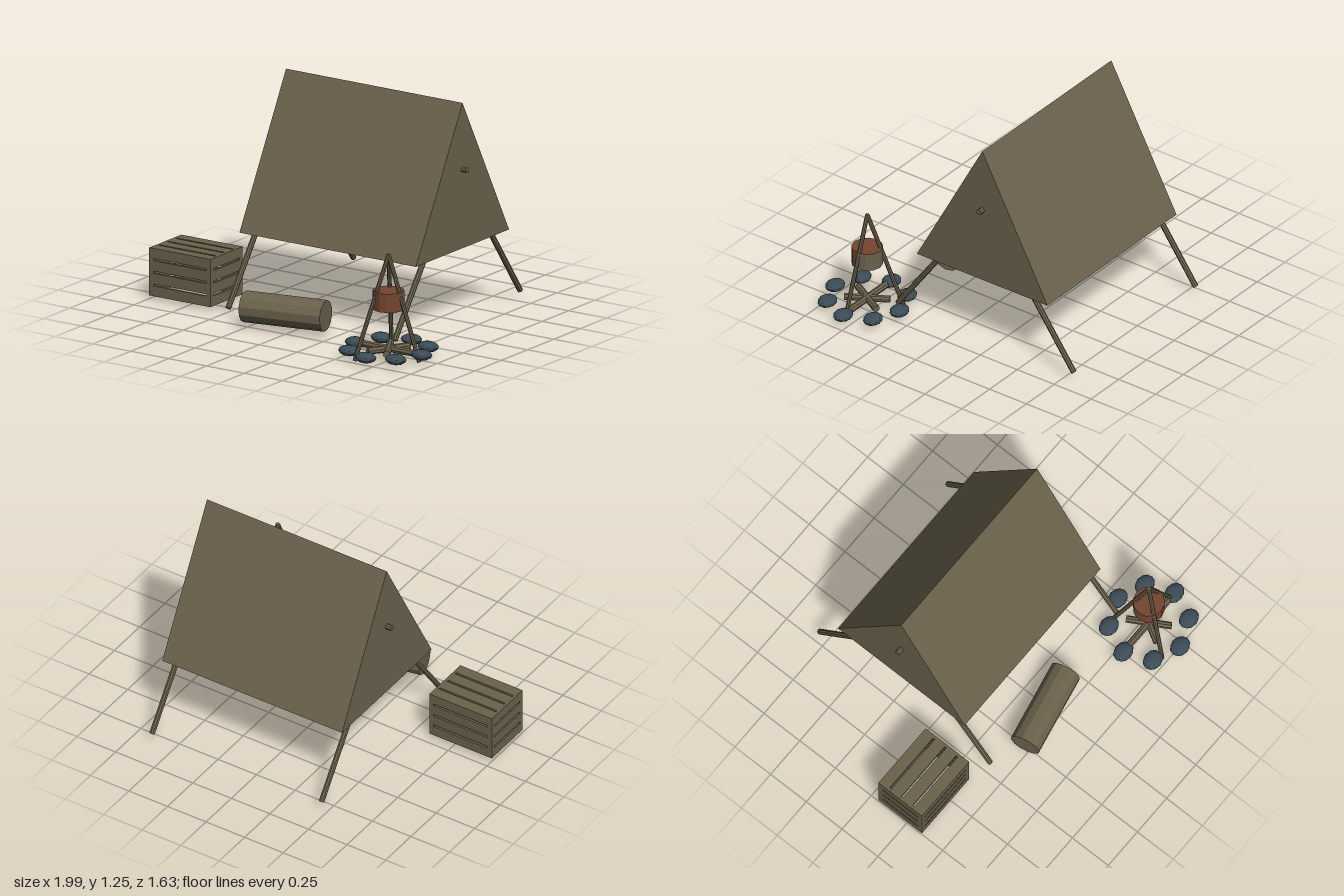
import * as THREE from 'three';

const flat = (name, color) => {
  const m = new THREE.MeshStandardMaterial({ color, flatShading: true });
  m.name = name;
  return m;
};

export function createModel() {
  const root = new THREE.Group();
  root.name = 'camp';
  const olive = flat('weatheredOlive', 0x6b614c);
  const stone = flat('blueGreyStone', 0x3b4c56);
  const rust = flat('rustyIron', 0x75452f);

  const add = (parent, name, geometry, material) => {
    const mesh = new THREE.Mesh(geometry, material);
    mesh.name = name;
    parent.add(mesh);
    return mesh;
  };
  const group = (name, x = 0, y = 0, z = 0) => {
    const g = new THREE.Group();
    g.name = name;
    g.position.set(x, y, z);
    root.add(g);
    return g;
  };
  // Round pole between two points
  const pole = (parent, name, a, b, radius, sides = 8) => {
    const from = new THREE.Vector3(...a), to = new THREE.Vector3(...b);
    const dir = to.clone().sub(from);
    const mesh = add(parent, name, new THREE.CylinderGeometry(radius, radius, dir.length(), sides), olive);
    mesh.position.copy(from).add(to).multiplyScalar(0.5);
    mesh.quaternion.setFromUnitVectors(new THREE.Vector3(0, 1, 0), dir.normalize());
    return mesh;
  };

  // Tent: closed triangular prism on splayed legs with a ridge pole
  const tent = group('tent');
  const gable = new THREE.Shape([
    new THREE.Vector2(-0.235, 0.435), new THREE.Vector2(0.65, 0.435), new THREE.Vector2(0.208, 1.255),
  ]);
  const canopy = add(tent, 'canopy', new THREE.ExtrudeGeometry(gable, { depth: 1.165, bevelEnabled: false }), olive);
  canopy.rotation.y = Math.PI / 2;
  canopy.position.x = -0.488;
  pole(tent, 'ridgePole', [-0.522, 0.88, -0.208], [0.71, 0.88, -0.208], 0.016);
  for (const x of [-0.456, 0.643]) {
    pole(tent, 'frontLeg', [x, 0.05, 0.388], [x, 0.88, -0.208], 0.016);
    pole(tent, 'backLeg', [x, 0.05, -0.804], [x, 0.88, -0.208], 0.016);
  }

  // Crate: five slotted panels, open underneath
  const [cw, ch, cd, thick] = [0.405, 0.27, 0.305, 0.014];
  const crate = group('crate', -0.7975, 0.16, 0.2025);
  const panel = (name, w, h, marginX) => {
    const s = new THREE.Shape([[-1, -1], [1, -1], [1, 1], [-1, 1]].map(([x, y]) => new THREE.Vector2(x * w / 2, y * h / 2)));
    for (let i = -1; i <= 1; i++) {
      const y = i * h * 0.265, x = w / 2 - marginX, t = 0.006;
      s.holes.push(new THREE.Path([
        new THREE.Vector2(-x, y - t), new THREE.Vector2(-x, y + t), new THREE.Vector2(x, y + t), new THREE.Vector2(x, y - t),
      ]));
    }
    return add(crate, name, new THREE.ExtrudeGeometry(s, { depth: thick, bevelEnabled: false }), olive);
  };
  for (const side of [1, -1]) {
    const face = panel(side > 0 ? 'crateFront' : 'crateBack', cw, ch, 0.028);
    face.rotation.y = side > 0 ? 0 : Math.PI;
    face.position.z = side * (cd / 2 - thick);
    const end = panel(side > 0 ? 'crateLeftEnd' : 'crateRightEnd', cd - 0.002, ch - 0.002, 0.027);
    end.rotation.y = side * Math.PI / 2;
    end.position.x = side * (cw / 2 - thick);
  }
  const lid = panel('crateTop', cw - 0.002, cd - 0.002, 0.016);
  lid.rotation.x = -Math.PI / 2;
  lid.position.y = ch / 2 - thick;

  // Seat log lying by the fire
  pole(root, 'seatLog', [-0.278, 0.115, 0.486], [0.19, 0.115, 0.39], 0.087, 12);

  // Campfire: stone ring, crossed sticks, tripod and hanging pot
  const fire = group('campfire', 0.712, 0, 0.545);
  const rock = new THREE.IcosahedronGeometry(0.062, 1);
  rock.scale(1, 0.48, 0.82);
  for (let i = 0; i < 8; i++) {
    const a = i * Math.PI / 4;
    add(fire, 'ringStone', rock, stone).position.set(Math.cos(a) * 0.218, 0.055, Math.sin(a) * 0.218);
  }
  [[0, 0.19], [Math.PI / 3, 0.125], [-Math.PI / 3, 0.125]].forEach(([a, r]) => {
    const x = Math.cos(a) * r, z = Math.sin(a) * r;
    pole(fire, 'fireStick', [-x, 0.055, -z], [x, 0.055, z], 0.02);
  });
  for (let i = 0; i < 3; i++) {
    const a = i * Math.PI * 2 / 3;
    pole(fire, 'tripodLeg', [Math.cos(a) * 0.203, 0.01, Math.sin(a) * 0.203], [0, 0.585, 0], 0.012);
  }
  const wall = (name, start, material) => {
    const g = new THREE.CylinderGeometry(0.087, 0.087, 0.105, 6, 1, true, start, Math.PI);
    add(fire, name, g, material).position.y = 0.332;
  };
  wall('potFront', -Math.PI / 2, rust);
  wall('potBack', Math.PI / 2, olive);
  for (const side of [1, -1]) {
    const cap = add(fire, side > 0 ? 'potTop' : 'potBase', new THREE.CircleGeometry(0.087, 12), side > 0 ? rust : olive);
    cap.rotation.x = -side * Math.PI / 2;
    cap.position.y = 0.332 + side * 0.0525;
  }
  return root;
}
